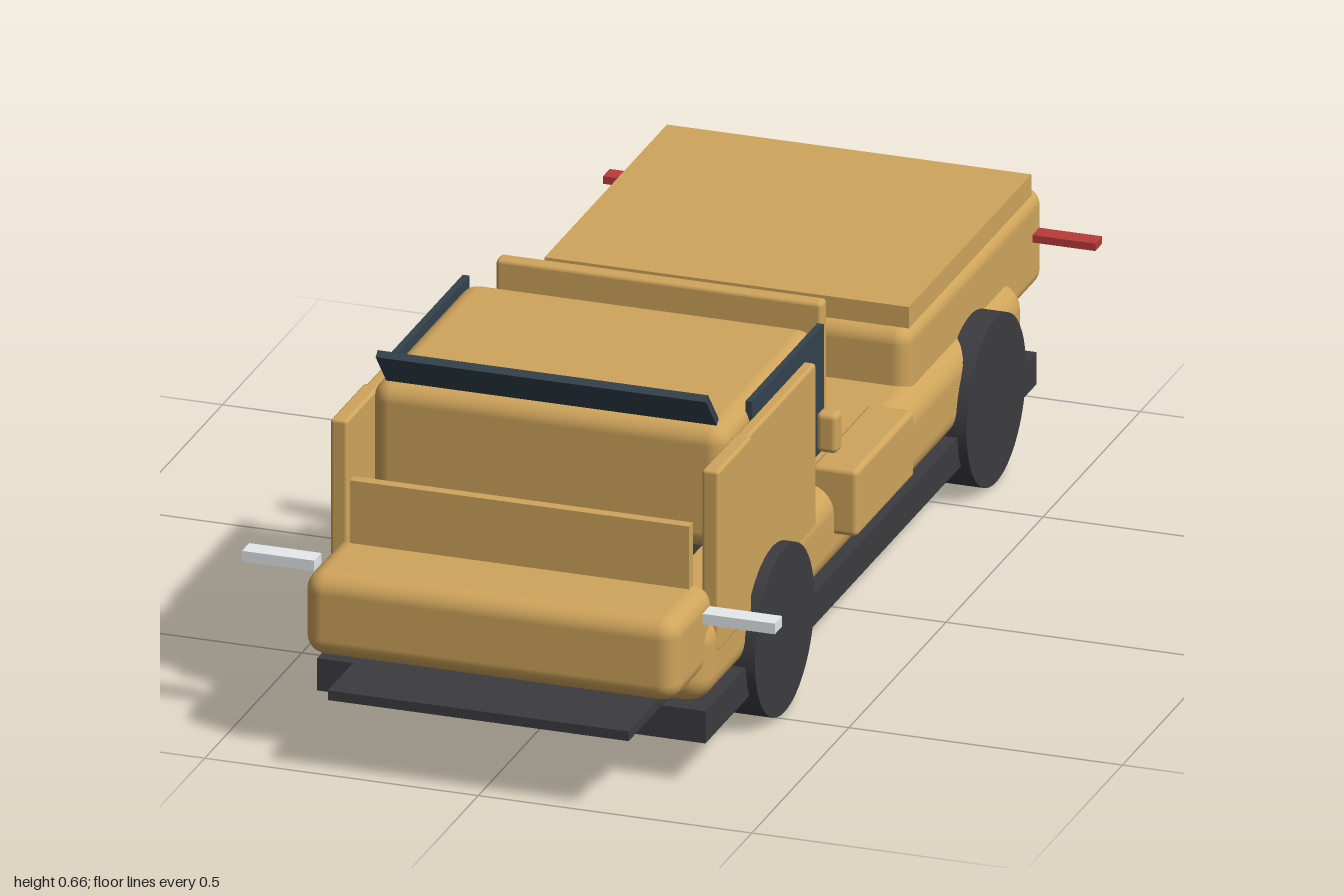
import * as THREE from 'three';
import { RoundedBoxGeometry } from 'three/addons/geometries/RoundedBoxGeometry.js';

const mat = (color) => new THREE.MeshStandardMaterial({ color });

export function createModel() {
  const group = new THREE.Group();
  const tan = mat(0xd0a55c), dark = mat(0x3c3c40), glass = mat(0x34424d);
  const white = mat(0xe6eaec), red = mat(0xb83a3a);

  // Box given by its limits on each axis; r > 0 rounds the edges
  function box(name, material, [x0, x1], [y0, y1], [z0, z1], r = 0) {
    const s = [x1 - x0, y1 - y0, z1 - z0];
    const geo = r ? new RoundedBoxGeometry(...s, 4, r) : new THREE.BoxGeometry(...s);
    const mesh = new THREE.Mesh(geo, material);
    mesh.name = name;
    mesh.position.set((x0 + x1) / 2, (y0 + y1) / 2, (z0 + z1) / 2);
    group.add(mesh);
    return mesh;
  }
  // The same box on both sides of the car
  function pair(name, material, [x0, x1], y, z, r) {
    box(name + 'Left', material, [x0, x1], y, z, r);
    box(name + 'Right', material, [-x1, -x0], y, z, r);
  }

  // Chassis and main body
  box('chassis', dark, [-0.355, 0.355], [0.08, 0.14], [-0.875, 0.83]);
  box('frontSkidPlate', dark, [-0.275, 0.275], [0.14, 0.158], [0.78, 1]);
  box('lowerBody', tan, [-0.352, 0.352], [0.135, 0.295], [-0.84, 0.82], 0.05);
  box('nose', tan, [-0.342, 0.342], [0.19, 0.345], [0.74, 0.945], 0.035);
  box('rearBody', tan, [-0.325, 0.325], [0.22, 0.4], [-1, -0.3], 0.03);
  box('rearCover', tan, [-0.333, 0.333], [0.415, 0.455], [-0.91, -0.28]);

  // Cab with flat panels ahead of and behind it
  box('cab', tan, [-0.325, 0.325], [0.355, 0.587], [0.15, 0.645], 0.035);
  box('frontPanel', tan, [-0.31, 0.31], [0.24, 0.462], [0.768, 0.788]);
  box('rearPanel', tan, [-0.298, 0.298], [0.372, 0.595], [0.042, 0.072], 0.008);
  box('frontWindow', dark, [-0.26, 0.26], [0.338, 0.356], [0.5, 0.7]);
  box('rearWindow', dark, [-0.24, 0.24], [0.335, 0.355], [0.095, 0.27]);

  // Sun visor, tilted forward above the roof
  const visor = box('visor', glass, [-0.302, 0.302], [0.579, 0.664], [0.638, 0.652]);
  visor.rotation.x = 0.7;

  // Sides
  pair('sideWindow', glass, [0.318, 0.33], [0.36, 0.592], [0.15, 0.52]);
  pair('door', tan, [0.326, 0.35], [0.225, 0.56], [0.245, 0.6], 0.006);
  pair('frontFender', tan, [0.324, 0.355], [0.225, 0.56], [0.59, 0.762], 0.006);
  pair('sideTank', tan, [0.31, 0.395], [0.205, 0.33], [-0.135, 0.16], 0.01);
  pair('mirror', tan, [0.347, 0.385], [0.39, 0.464], [0.205, 0.24], 0.01);
  pair('headlight', white, [0.355, 0.487], [0.308, 0.328], [0.808, 0.845]);
  pair('tailLight', red, [0.335, 0.45], [0.328, 0.342], [-0.945, -0.91]);

  // Small fitting on the right side
  box('fittingPlate', tan, [-0.395, -0.305], [0.363, 0.372], [0.065, 0.17]);
  box('fittingKnob', dark, [-0.372, -0.333], [0.357, 0.38], [0.1, 0.127]);

  // Wheels
  const wheelGeo = new THREE.CylinderGeometry(0.153, 0.153, 0.109, 48).rotateZ(Math.PI / 2);
  for (const side of [1, -1]) {
    for (const [end, z] of [['front', 0.47], ['rear', -0.62]]) {
      const wheel = new THREE.Mesh(wheelGeo, dark);
      wheel.name = end + 'Wheel' + (side > 0 ? 'Left' : 'Right');
      wheel.position.set(side * 0.3175, 0.153, z);
      group.add(wheel);
    }
  }
  return group;
}
